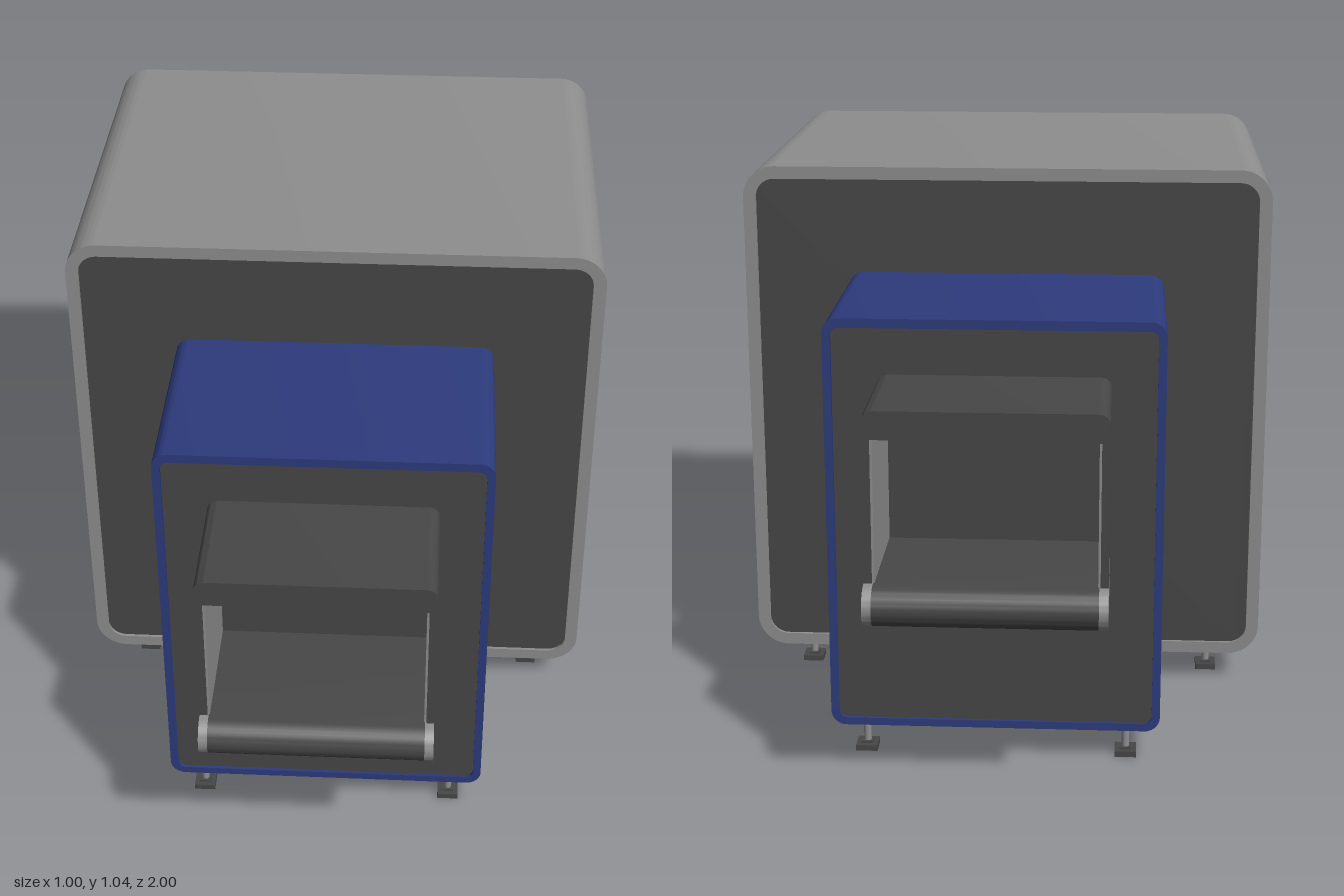
import * as THREE from 'three';
import { toCreasedNormals } from 'three/addons/utils/BufferGeometryUtils.js';

const material = (name, color) => {
  const m = new THREE.MeshStandardMaterial({ color });
  m.name = name;
  return m;
};

// Rectangle with rounded corners, from half width and bottom/top heights
function roundedRect(hw, y0, y1, r, Type = THREE.Shape) {
  const s = new Type();
  s.moveTo(hw, y0 + r);
  s.lineTo(hw, y1 - r);
  s.absarc(hw - r, y1 - r, r, 0, Math.PI / 2);
  s.absarc(-hw + r, y1 - r, r, Math.PI / 2, Math.PI);
  s.absarc(-hw + r, y0 + r, r, Math.PI, Math.PI * 1.5);
  s.absarc(hw - r, y0 + r, r, Math.PI * 1.5, Math.PI * 2);
  return s;
}

// Extrusion along z between z0 and z1, with soft rounds and sharp edges
function extrude(shape, z0, z1) {
  const g = new THREE.ExtrudeGeometry(shape, { depth: z1 - z0, bevelEnabled: false, curveSegments: 10 });
  g.translate(0, 0, z0);
  return toCreasedNormals(g, 0.5);
}

function add(parent, name, geometry, mat) {
  const mesh = new THREE.Mesh(geometry, mat);
  mesh.name = name;
  parent.add(mesh);
  return mesh;
}

export function createModel() {
  const grey = material('light grey', 0x8e8e8e);
  const dark = material('dark grey', 0x474747);
  const blue = material('blue', 0x2d3b7d);
  const model = new THREE.Group();
  model.name = 'conveyorScanner';
  const recess = 0.006;

  // Main cabinet: a rounded shell with a recessed panel at both ends
  const shell = roundedRect(0.502, 0.06, 1.036, 0.06);
  shell.holes.push(roundedRect(0.478, 0.083, 1.012, 0.036, THREE.Path));
  add(model, 'cabinetShell', extrude(shell, -0.376, 0.376), grey);

  // Everything on one end; the other end is the same turned half round
  function createEnd(name) {
    const end = new THREE.Group();
    end.name = name;
    add(end, 'cabinetPanel', extrude(roundedRect(0.478, 0.083, 1.012, 0.036), 0.35, 0.376 - recess), dark);

    // Blue tunnel housing
    const housing = roundedRect(0.302, 0.06, 0.832, 0.028);
    housing.holes.push(roundedRect(0.287, 0.074, 0.815, 0.015, THREE.Path));
    add(end, 'housingShell', extrude(housing, 0.36, 0.741), blue);
    add(end, 'housingPanel', extrude(roundedRect(0.287, 0.074, 0.815, 0.015), 0.71, 0.741 - recess), dark);

    // Hood over the belt, open at the front
    const r = 0.02, hw = 0.207, top = 0.73;
    const hood = new THREE.Shape();
    hood.moveTo(hw, 0.425);
    hood.lineTo(hw, top - r);
    hood.absarc(hw - r, top - r, r, 0, Math.PI / 2);
    hood.absarc(-hw + r, top - r, r, Math.PI / 2, Math.PI);
    hood.lineTo(-hw, 0.425);
    hood.lineTo(-0.193, 0.425);
    hood.lineTo(-0.193, 0.68);
    hood.lineTo(0.193, 0.68);
    hood.lineTo(0.193, 0.425);
    add(end, 'hood', extrude(hood, 0.73, 0.96), dark);

    // Conveyor with a rounded nose, drawn along z and extruded across x
    const cr = 0.036, cy = 0.39;
    const nose = new THREE.Shape();
    nose.moveTo(0.73, cy - cr);
    nose.lineTo(1 - cr, cy - cr);
    nose.absarc(1 - cr, cy, cr, -Math.PI / 2, Math.PI / 2);
    nose.lineTo(0.73, cy + cr);
    const strip = (x0, x1) => extrude(nose, x0, x1).rotateY(-Math.PI / 2);
    add(end, 'conveyorBelt', strip(-0.191, 0.191), dark);
    for (const side of [-1, 1]) {
      const x = side * 0.199;
      add(end, 'conveyorSidePlate', strip(x - 0.008, x + 0.008), grey);
      // Light lining on the inside walls of the hood
      const lining = add(end, 'hoodLining', new THREE.BoxGeometry(0.004, 0.255, 0.222), grey);
      lining.position.set(side * 0.191, 0.5525, 0.846);

      // Levelling feet under the cabinet and the housing
      for (const [fx, fz] of [[0.402, 0.302], [0.24, 0.706]]) {
        const foot = new THREE.Group();
        foot.name = 'foot';
        foot.position.set(side * fx, 0, fz);
        add(foot, 'footStem', new THREE.CylinderGeometry(0.007, 0.007, 0.055, 16), grey).position.y = 0.036;
        add(foot, 'footPad', new THREE.BoxGeometry(0.04, 0.011, 0.04), dark).position.y = 0.0055;
        add(foot, 'footCollar', new THREE.BoxGeometry(0.022, 0.004, 0.022), dark).position.y = 0.013;
        end.add(foot);
      }
    }
    return end;
  }

  const front = createEnd('frontEnd');
  const back = createEnd('backEnd');
  back.rotation.y = Math.PI;
  model.add(front, back);
  return model;
}
